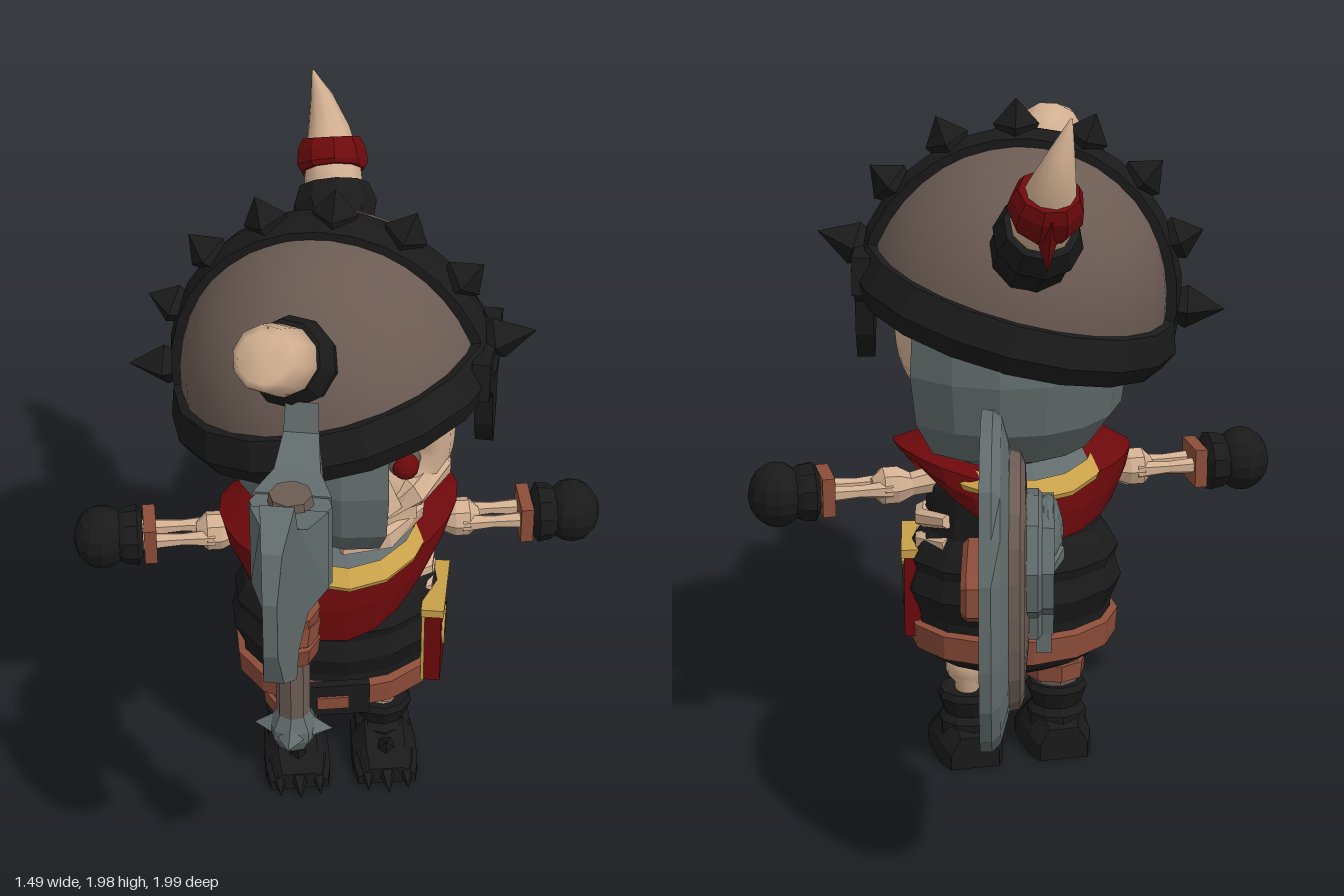
import * as THREE from 'three';

const mat = (name, color, side = THREE.FrontSide) => {
  const m = new THREE.MeshStandardMaterial({ color, side });
  m.name = name;
  return m;
};
const V = (x, y, z) => new THREE.Vector3(x, y, z);

// faceted normals
function flat(geo) {
  const g = geo.index ? geo.toNonIndexed() : geo;
  g.computeVertexNormals();
  return g;
}

// skin over a list of equal-sized point rings, with capped ends
function loft(rings, smooth = false) {
  const n = rings[0].length, pos = [], idx = [];
  rings.forEach(r => r.forEach(p => pos.push(p.x, p.y, p.z)));
  for (let i = 0; i < rings.length - 1; i++) for (let j = 0; j < n; j++) {
    const a = i * n + j, b = i * n + (j + 1) % n;
    idx.push(a, b, a + n, b, b + n, a + n);
  }
  [0, rings.length - 1].forEach((i, end) => {
    const c = rings[i].reduce((s, p) => s.add(p), V(0, 0, 0)).divideScalar(n);
    pos.push(c.x, c.y, c.z);
    const k = pos.length / 3 - 1;
    for (let j = 0; j < n; j++) {
      const a = i * n + j, b = i * n + (j + 1) % n;
      end ? idx.push(k, a, b) : idx.push(k, b, a);
    }
  });
  const g = new THREE.BufferGeometry();
  g.setAttribute('position', new THREE.Float32BufferAttribute(pos, 3));
  g.setIndex(idx);
  if (!smooth) return flat(g);
  g.computeVertexNormals();
  return g;
}

// round limb through points with a radius at each
function limb(pts, radii, sides = 8, smooth = false) {
  const p = pts.map(a => V(...a));
  return loft(p.map((c, i) => {
    const t = p[Math.min(i + 1, p.length - 1)].clone().sub(p[Math.max(i - 1, 0)]).normalize();
    const u = (Math.abs(t.x) > 0.9 ? V(0, 0, 1) : V(1, 0, 0)).cross(t).normalize(), w = t.clone().cross(u);
    return Array.from({ length: sides }, (_, j) => {
      const a = j / sides * Math.PI * 2;
      return c.clone().addScaledVector(u, Math.cos(a) * radii[i]).addScaledVector(w, Math.sin(a) * radii[i]);
    });
  }), smooth);
}
const lathe = (pts, seg = 16, start = 0, len = Math.PI * 2) =>
  new THREE.LatheGeometry(pts.map(p => new THREE.Vector2(...p)), seg, start, len);
const polygon = pts => new THREE.Shape(pts.map(p => new THREE.Vector2(...p)));
const slab = (shape, depth, bevel = 0) => flat(new THREE.ExtrudeGeometry(shape, {
  depth, bevelEnabled: bevel > 0, bevelSize: bevel, bevelThickness: bevel, bevelSegments: 1, curveSegments: 8 }));
const box = (x, y, z) => flat(new THREE.BoxGeometry(x, y, z));
const cyl = (rt, rb, h, n = 8) => flat(new THREE.CylinderGeometry(rt, rb, h, n));
const cone = (r, h, n = 4) => flat(new THREE.ConeGeometry(r, h, n));
const ball = (x, y, z, w = 12, h = 8) => flat(new THREE.SphereGeometry(1, w, h).scale(x, y, z));

export function createModel() {
  const bone = mat('bone', 0xd2af91), black = mat('blackCloth', 0x1a1a1a), wood = mat('wornBrown', 0x6b5b53, THREE.DoubleSide),
    steel = mat('steel', 0x626c6c, THREE.DoubleSide), red = mat('redCloth', 0x6c090b, THREE.DoubleSide),
    leather = mat('leather', 0x8b4c39), gold = mat('gold', 0xc7a048, THREE.DoubleSide);
  const model = new THREE.Group();
  const group = (name, x = 0, y = 0, z = 0) => {
    const g = new THREE.Group();
    g.name = name; g.position.set(x, y, z); model.add(g);
    return g;
  };
  const add = (name, geo, material, x = 0, y = 0, z = 0, parent = model) => {
    const m = new THREE.Mesh(geo, material);
    m.name = name; m.position.set(x, y, z); parent.add(m);
    return m;
  };

  // torso, layered tunic, belt and exposed ribs
  const body = [[0, .3], [.15, .3], [.24, .34], [.28, .4], [.28, .48], [.31, .55], [.29, .61], [.3, .64], [.275, .69], [.25, .72], [.24, .85], [.16, .97], [0, .98]];
  add('tunic', flat(lathe(body, 14).scale(1, 1, .82)), black, 0, 0, -.02);
  add('belt', flat(lathe([[.26, .38], [.295, .38], [.3, .45], [.26, .46]], 14).scale(1, 1, .85)), leather, 0, 0, -.02);
  add('buckle', box(.19, .105, .025), black, -.03, .425, .235);
  add('buckleTongue', box(.09, .04, .01), leather, -.04, .42, .25);
  [.75, .68, .61].forEach(y => add('rib', limb([[.17, y, .11], [.24, y - .01, .06], [.26, y, -.03], [.21, y + .02, -.13]], [.02, .026, .026, .02], 6), bone));

  // scarf: hem hangs low in front and back, lifted over the shoulders
  const scarf = lathe([[.19, 0], [.27, .2], [.335, .4], [.32, .7], [.29, 1]], 24);
  const sp = scarf.attributes.position;
  for (let i = 0; i < sp.count; i++) {
    const x = sp.getX(i), z = sp.getZ(i), v = sp.getY(i), r = Math.hypot(x, z), s = x / r, c = z / r;
    const hem = .7 + .17 * s * s + .055 * s - .05 * c;
    sp.setXYZ(i, x, THREE.MathUtils.lerp(1.01, hem, v), z * (.66 + .26 * v));
  }
  add('scarf', flat(scarf), red, 0, 0, -.01);
  const collar = (name, pts, m) => {
    const g = lathe(pts, 16).scale(.82, 1, 1), p = g.attributes.position;
    for (let i = 0; i < p.count; i++) p.setY(i, p.getY(i) - .04 * (p.getZ(i) / .3) ** 2);
    add(name, flat(g), m);
  };
  collar('gorget', [[.3, .945], [.2, 1.02]], steel);
  collar('collarTrim', [[.28, .915], [.32, .92], [.325, .935], [.285, .965]], gold);

  // arms, hands, legs and boots
  for (const s of [-1, 1]) {
    const arm = group(s > 0 ? 'leftArm' : 'rightArm', 0, .85, -.022);
    add('upperArm', limb([[.16 * s, .02, 0], [.29 * s, 0, 0], [.33 * s, 0, 0], [.37 * s, 0, 0], [.4 * s, 0, 0]], [.045, .035, .055, .055, .025]), bone, 0, 0, 0, arm);
    for (const z of [-.032, .032]) add('forearm', limb([[.35 * s, 0, z], [.44 * s, 0, z], [.55 * s, 0, z]], [.026, .018, .026], 6), bone, 0, 0, 0, arm);
    add('cuff', box(.035, .11, .13), leather, .53 * s, 0, 0, arm);
    add('glove', limb([[.55 * s, 0, 0], [.565 * s, 0, 0], [.6 * s, 0, 0], [.63 * s, 0, 0]], [.06, .085, .08, .06], 10), black, 0, 0, 0, arm);
    add('fist', ball(.08, .09, .09), black, .665 * s, 0, 0, arm);

    const boot = group(s > 0 ? 'leftBoot' : 'rightBoot', .13 * s, 0, 0);
    add('bootShaft', flat(lathe([[0, .04], [.085, .05], [.085, .13], [.07, .15], [.088, .2], [.08, .22], [0, .2]], 10)), black, 0, 0, -.015, boot);
    add('foot', loft([[-.11, .07, .1], [-.06, .09, .14], [.03, .095, .15], [.1, .095, .1], [.15, .085, .06]].map(([z, w, h]) =>
      [[-w, .005], [w, .005], [w, h * .5], [w * .6, h], [-w * .6, h], [-w, h * .5]].map(([x, y]) => V(x, y, z)))), black, 0, 0, 0, boot);
    for (const i of [-1, 0, 1]) {
      add('toeClaw', cone(.042, .12, 5), black, i * .058, .035, .155 - Math.abs(i) * .015, boot).rotation.x = 1.8;
    }
    add('bootSpur', cone(.045, .09, 5), black, 0, .11, .1, boot).rotation.x = .7;
  }
  add('leftShin', limb([[.13, .15, 0], [.13, .23, 0], [.13, .26, 0], [.13, .3, 0], [.12, .34, 0]], [.035, .035, .06, .062, .04], 10, true), bone);
  add('leftKnee', ball(.03, .03, .03, 6, 5), bone, .13, .275, .055);
  add('rightShin', cyl(.085, .07, .2), wood, -.13, .27, .01);
  add('rightStrap', cyl(.092, .088, .05), leather, -.13, .255, .01);

  // skull: squared-off ball with a hollow for the eye
  const head = group('skull');
  const skull = new THREE.SphereGeometry(1, 32, 24), kp = skull.attributes.position;
  for (let i = 0; i < kp.count; i++) {
    const p = V(0, 0, 0).fromBufferAttribute(kp, i);
    const k = (Math.abs(p.x) ** 2.6 + Math.abs(p.y) ** 2.6 + Math.abs(p.z) ** 2.6) ** (-1 / 2.6);
    p.multiplyScalar(k).multiply(V(.28, .28, .285));
    const dent = p.z > 0 ? .07 * Math.exp(-((p.x - .12) ** 2 + (p.y + .03) ** 2) / .004) : 0;
    kp.setXYZ(i, p.x, p.y, p.z - dent);
  }
  skull.computeVertexNormals();
  add('cranium', skull, bone, .03, 1.3, .04, head);
  add('socket', ball(.05, .048, .03), wood, .15, 1.265, .262, head).rotation.y = .5;
  add('eye', ball(.037, .037, .037), red, .15, 1.262, .285, head);
  add('brow', limb([[.06, 1.33, .31], [.14, 1.35, .3], [.24, 1.36, .24]], [.025, .035, .025], 6), bone, 0, 0, 0, head);
  add('cheekbone', limb([[.09, 1.13, .28], [.17, 1.17, .27], [.25, 1.2, .2], [.27, 1.22, .05]], [.04, .05, .04, .02], 6), bone, 0, 0, 0, head);
  add('nose', cone(.05, .13), bone, .09, 1.21, .31, head);
  add('upperTeeth', box(.18, .1, .1), bone, .09, 1.08, .2, head).rotation.y = .4;
  add('jaw', limb([[-.02, .995, .25], [.1, 1, .235], [.18, 1.03, .16], [.21, 1.08, .02]], [.04, .045, .045, .03], 6), bone, 0, 0, 0, head);

  // steel guard around the head, open towards the face
  add('headGuard', flat(lathe([[.2, .95], [.32, 1.0], [.4, 1.1], [.425, 1.24], [.41, 1.4]], 12, 2.2, 4.22).scale(.85, 1, 1)), steel, .045, 0, -.02);

  // tilted helmet
  const helm = group('helmet', -.01, 1.37, -.02);
  helm.rotation.set(-.1, -.26, .24, 'XZY');
  add('dome', new THREE.SphereGeometry(.415, 24, 10, 0, Math.PI * 2, 0, Math.PI / 2).scale(1, 1.07, 1), wood, 0, 0, 0, helm);
  add('rim', flat(lathe([[.395, -.075], [.435, -.075], [.462, -.02], [.435, .06], [.395, .06], [.395, -.075]], 18)), black, 0, 0, 0, helm);
  add('crestBand', loft(Array.from({ length: 17 }, (_, i) => {
    const a = i / 16 * Math.PI;
    return [[.39, -.065], [.435, -.065], [.45, 0], [.435, .065], [.39, .065]].map(([r, z]) => V(r * Math.cos(a), r * 1.06 * Math.sin(a), -z));
  })), black, 0, 0, 0, helm);
  for (let i = 0; i < 8; i++) {
    const a = THREE.MathUtils.degToRad(169 - 23.6 * i), tip = i === 0 || i === 7 ? .09 : .055;
    add('crestSpike', flat(lathe([[.045, -.05], [.062, -.015], [0, tip]], 4)), black, .48 * Math.cos(a), .5 * Math.sin(a), 0, helm).rotation.z = a - Math.PI / 2;
  }
  const nasal = polygon([[-.15, .05], [-.17, -.05], [-.11, -.05], [-.06, -.1], [-.045, -.2], [0, -.28], [.045, -.2], [.06, -.1], [.11, -.05], [.17, -.05], [.15, .05]]);
  add('noseGuard', slab(nasal, .05).rotateY(Math.PI / 2), black, .4, 0, 0, helm).rotation.z = -.25;

  // horns: one broken in front, one whole behind with a red wrap
  add('frontHornSocket', limb([[-.1, 1.54, .2], [-.14, 1.62, .3], [-.15, 1.635, .32], [-.175, 1.68, .37]], [.11, .11, .12, .1], 10), black);
  add('brokenHorn', limb([[-.15, 1.64, .33], [-.2, 1.705, .41], [-.23, 1.74, .455], [-.235, 1.75, .47]], [.095, .092, .085, .065], 10, true), bone);
  add('hornSplinter', cone(.05, .1), bone, -.215, 1.76, .42);
  add('rearHornSocket', limb([[.03, 1.54, -.3], [.03, 1.62, -.4], [.03, 1.64, -.43], [.03, 1.68, -.47]], [.11, .11, .12, .1], 10), black);
  add('rearHorn', limb([[.03, 1.63, -.42], [.03, 1.73, -.51], [.025, 1.81, -.565], [.01, 1.89, -.59], [-.015, 1.98, -.59]], [.085, .08, .06, .035, .003], 10, true), bone);
  add('hornWrap', limb([[.03, 1.715, -.495], [.03, 1.73, -.51], [.03, 1.765, -.535], [.03, 1.79, -.55]], [.09, .1, .095, .08], 9), red);
  add('wrapKnot', cone(.045, .14), red, .04, 1.655, -.57).rotation.x = Math.PI;

  // hanging pouch with a crescent on its outer face
  const pouch = group('pouch', .272, .53, .055);
  pouch.rotation.y = -.2;
  add('pouchBody', box(.05, .25, .215), red, 0, 0, 0, pouch);
  add('pouchTopTrim', box(.065, .025, .235), gold, 0, .125, 0, pouch);
  add('pouchEdge', box(.009, .25, .01), gold, -.026, 0, .107, pouch);
  add('pouchDisc', cyl(.058, .058, .006, 14).rotateZ(Math.PI / 2), black, .027, -.005, -.015, pouch);
  const moon = new THREE.Shape().absarc(0, 0, .058, 1.2, 4.6, false);
  moon.quadraticCurveTo(-.06, -.01, .02, .054);
  add('crescent', slab(moon, .008).rotateY(Math.PI / 2), gold, .025, .008, .012, pouch);

  // double-bladed axe
  const axe = group('axe', -.18, 0, .63);
  axe.rotation.y = -1.79;
  add('axeHandle', cyl(.045, .045, .75), wood, 0, 1.05, 0, axe);
  add('handleTop', cyl(.055, .06, .04), wood, 0, 1.43, 0, axe);
  add('axeHub', cyl(.105, .105, .24), steel, 0, 1.3, 0, axe);
  [.97, 1.02, 1.07].forEach((y, i) => { add('gripWrap', cyl(.074, .066, .06), leather, 0, y, 0, axe).rotation.z = i % 2 ? .2 : -.15; });
  const half = [[.22, .27], [.2, .19], [.12, .13], [.03, .12]];
  const outline = [[.365, .08], [.32, .2], ...half, ...half.map(([x, y]) => [x, -y]).reverse(), [.32, -.2], [.365, -.08]];
  for (const s of [0, 1]) {
    const g = new THREE.ExtrudeGeometry(polygon(outline), { depth: 1, bevelEnabled: false }), p = g.attributes.position;
    for (let i = 0; i < p.count; i++) {
      const x = p.getX(i);
      p.setZ(i, (p.getZ(i) - .5) * 2 * (x < .1 ? .1 : Math.max(.018, .08 - x * .17)));
    }
    add('axeBlade', flat(g), steel, 0, 1.305, 0, axe).rotation.y = s * Math.PI;
  }
  add('pommel', flat(lathe([[0, .63], [.045, .63], [.065, .67], [.065, .7], [.045, .74], [0, .74]], 8)), steel, 0, 0, 0, axe);
  for (let i = 0; i < 4; i++) {
    const a = i * Math.PI / 2;
    add('pommelStud', flat(new THREE.ConeGeometry(.035, .05, 4).rotateX(Math.PI / 2).rotateY(a)), steel, .08 * Math.sin(a), .685, .08 * Math.cos(a), axe);
  }

  // dished shield with a skull relief on the outer face
  const shield = group('shield', .145, .81, -.68);
  shield.rotation.y = -1.81;
  const ring = (r, z) => Array.from({ length: 24 }, (_, i) => {
    const a = -i / 24 * Math.PI * 2, c = Math.cos(a), s = Math.sin(a);
    const k = r / (Math.abs(c) ** 2.7 + Math.abs(s) ** 2.7) ** (1 / 2.7) * (r > .95 && (i === 0 || i === 14) ? .95 : 1);
    return V(.34 * k * c, .43 * k * s, z - .07 * r * r);
  });
  add('shieldPlate', loft([ring(.02, .02), ring(.5, .02), ring(.8, .025), ring(.95, .025), ring(1, .01), ring(1, -.02), ring(.6, -.02), ring(.02, -.02)]), steel, 0, 0, 0, shield);
  add('shieldField', loft([ring(.02, .045), ring(.5, .045), ring(.68, .055), ring(.75, .05), ring(.77, .02), ring(.02, .01)]), wood, 0, 0, 0, shield);
  const face = polygon([[-.1, -.13], [.1, -.13], [.11, -.07], [.17, -.03], [.19, .07], [.13, .17], [0, .2], [-.13, .17], [-.19, .07], [-.17, -.03], [-.11, -.07]]);
  add('skullBack', slab(face, .035, .01), steel, 0, .02, .02, shield);
  for (const s of [-1, 1]) {
    face.holes.push(new THREE.Path().absellipse(.082 * s, .01, .052, .045, 0, Math.PI * 2));
    add('skullBrow', limb([[.02 * s, .055, .1], [.09 * s, .09, .095], [.16 * s, .07, .075]], [.02, .03, .02], 6), steel, 0, .02, 0, shield);
  }
  face.holes.push(new THREE.Path([[0, -.02], [-.025, -.07], [.025, -.07]].map(p => new THREE.Vector2(...p))));
  add('skullFace', slab(face, .04), steel, 0, .02, .055, shield);
  add('skullForehead', ball(.15, .09, .04), steel, 0, .13, .08, shield);
  for (let i = -2; i <= 2; i++) add('skullTooth', box(.032, .06, .04), steel, i * .042, -.13 - (i % 2 ? .015 : 0), .07, shield);
  const grip = polygon([[-.15, -.03], [-.11, -.055], [.11, -.055], [.15, -.03], [.15, .03], [.11, .055], [-.11, .055], [-.15, .03]]);
  add('shieldGrip', slab(grip, .1, .015), leather, 0, 0, -.125, shield);
  return model;
}
